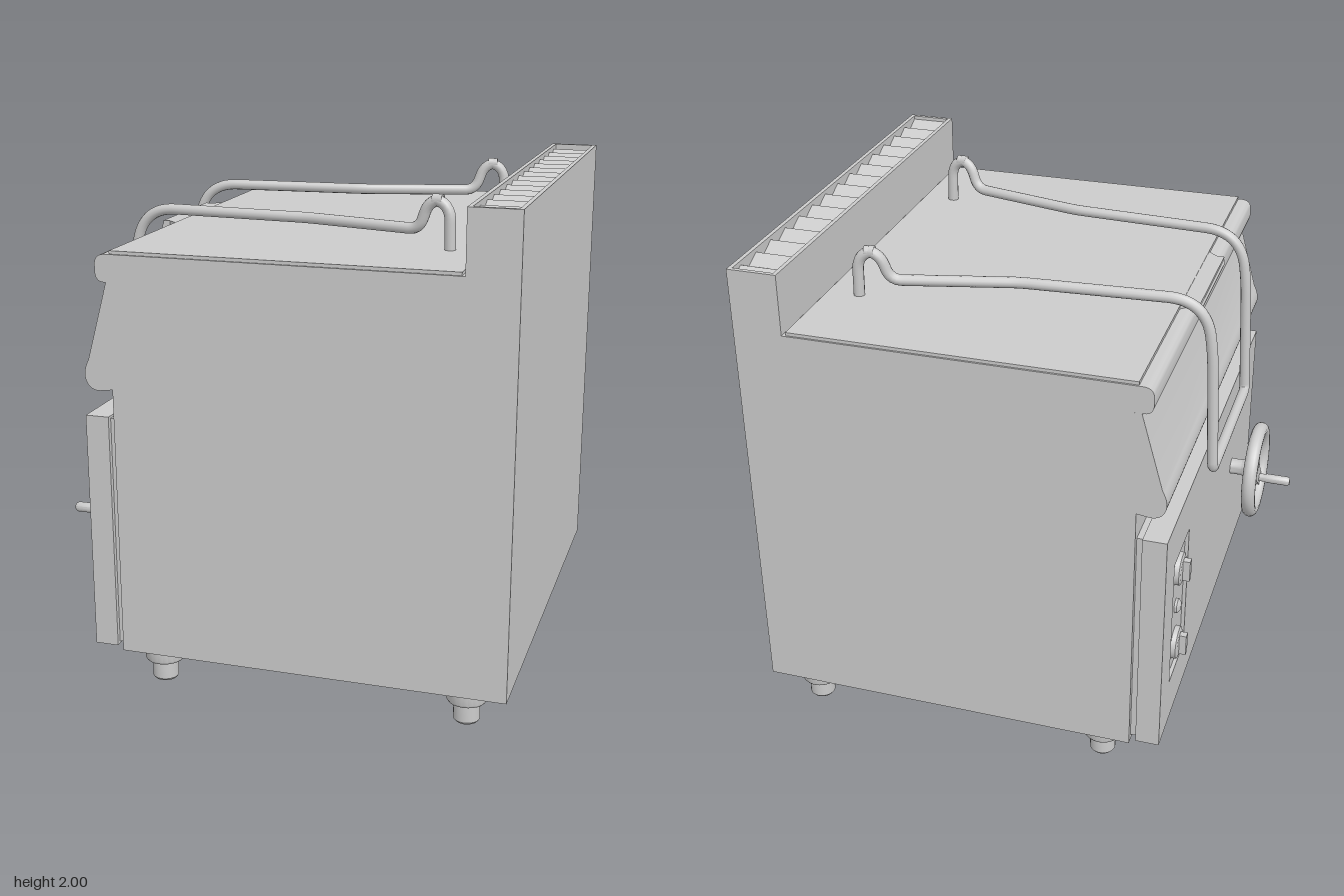
import * as THREE from 'three';
import { toCreasedNormals } from 'three/addons/utils/BufferGeometryUtils.js';

const V3 = (x, y, z) => new THREE.Vector3(x, y, z);
const material = new THREE.MeshStandardMaterial({ color: 0xcccccc });
const HALF = 0.925; // half width of the cabinet along z

function add(parent, name, geometry, x = 0, y = 0, z = 0) {
  const mesh = new THREE.Mesh(geometry, material);
  mesh.name = name;
  mesh.position.set(x, y, z);
  parent.add(mesh);
  return mesh;
}

const polygon = (pts) => new THREE.Shape(pts.map(([x, y]) => new THREE.Vector2(x, y)));
const rect = (x0, y0, x1, y1) => polygon([[x0, y0], [x1, y0], [x1, y1], [x0, y1]]);
const extrude = (shape, depth) =>
  toCreasedNormals(new THREE.ExtrudeGeometry(shape, { depth, bevelEnabled: false, curveSegments: 8 }), 0.6);

// Side profile in x/y, extruded symmetrically across z
const acrossZ = (shape, half) => extrude(shape, half * 2).translate(0, 0, -half);
// Outline in z/y, extruded forwards along -x
const alongFront = (shape, depth) => extrude(shape, depth).rotateY(-Math.PI / 2);
// Lathe profile [radius, height] with its axis pointing along -x
const turnedFront = (pts, sides = 24) =>
  toCreasedNormals(new THREE.LatheGeometry(pts.map(([r, h]) => new THREE.Vector2(r, h)), sides), 0.6).rotateZ(Math.PI / 2);

// Polyline with rounded corners; each point is [x, y, z, cornerRadius]
function roundedPath(points) {
  const path = new THREE.CurvePath();
  let last = V3(...points[0].slice(0, 3));
  for (let i = 1; i < points.length - 1; i++) {
    const [a, p, b] = [points[i - 1], points[i], points[i + 1]].map((q) => V3(q[0], q[1], q[2]));
    const start = p.clone().add(a.sub(p).setLength(points[i][3]));
    const end = p.clone().add(b.sub(p).setLength(points[i][3]));
    path.add(new THREE.LineCurve3(last, start));
    path.add(new THREE.QuadraticBezierCurve3(start, p, end));
    last = end;
  }
  path.add(new THREE.LineCurve3(last, V3(...points.at(-1).slice(0, 3))));
  return path;
}

export function createModel() {
  const model = new THREE.Group();
  model.name = 'tiltingPanCooker';

  // Cabinet with the sloping pan front
  const body = new THREE.Shape();
  body.moveTo(-0.59, 0.145);
  body.lineTo(0.965, 0.145);
  body.lineTo(0.965, 1.65);
  body.lineTo(-0.6, 1.65);
  body.lineTo(-0.685, 1.345);
  body.quadraticCurveTo(-0.71, 1.3, -0.7, 1.265);
  body.quadraticCurveTo(-0.685, 1.222, -0.64, 1.225);
  body.lineTo(-0.59, 1.232);
  add(model, 'cabinet', acrossZ(body, HALF));

  // Worktop rim with a rounded nose
  const rim = new THREE.Shape();
  rim.moveTo(-0.61, 1.65);
  rim.lineTo(0.77, 1.65);
  rim.lineTo(0.77, 1.757);
  rim.lineTo(-0.6, 1.757);
  rim.quadraticCurveTo(-0.64, 1.757, -0.643, 1.72);
  rim.lineTo(-0.643, 1.685);
  rim.quadraticCurveTo(-0.64, 1.652, -0.61, 1.65);
  add(model, 'worktopRim', acrossZ(rim, HALF));

  // Lid plate and its front grip lip
  add(model, 'lid', new THREE.BoxGeometry(1.34, 0.03, 1.835), 0.085, 1.755, 0);
  const lip = polygon([[-0.58, -0.28], [-0.58, 0.28], [-0.625, 0.24], [-0.655, 0.24], [-0.655, -0.24], [-0.625, -0.24]]);
  add(model, 'lidLip', extrude(lip, 0.03).rotateX(-Math.PI / 2), 0, 1.738, 0);
  add(model, 'lidLipEdge', new THREE.CylinderGeometry(0.02, 0.02, 0.48, 16).rotateX(Math.PI / 2), -0.64, 1.743, 0);

  // Flue riser with a corrugated vent set into its top
  const riser = rect(0.768, -HALF, 0.965, HALF);
  riser.holes.push(rect(0.785, -0.908, 0.948, 0.908));
  add(model, 'flueRiser', extrude(riser, 0.35).rotateX(-Math.PI / 2), 0, 1.65, 0);
  const count = 29, step = 1.816 / count;
  const zigzag = [[-0.908, 1.9]];
  for (let i = 0; i <= count; i++) zigzag.push([-0.908 + i * step, i % 2 ? 1.985 : 1.955]);
  zigzag.push([0.908, 1.9]);
  const vent = new THREE.ExtrudeGeometry(polygon(zigzag), { depth: 0.163, bevelEnabled: false });
  add(model, 'ventSlats', vent.rotateY(-Math.PI / 2), 0.948, 0, 0);

  // Front door panel with a recess for the controls
  add(model, 'panelBacking', new THREE.BoxGeometry(0.05, 0.94, 1.8), -0.6, 0.64, 0);
  const door = rect(-0.92, 0.16, 0.92, 1.12);
  door.holes.push(rect(-0.765, 0.36, -0.505, 0.92));
  add(model, 'frontPanel', alongFront(door, 0.095), -0.615, 0, 0);
  add(model, 'controlPlate', new THREE.BoxGeometry(0.04, 0.58, 0.28), -0.675, 0.64, -0.635);

  // Rotary knobs and indicator lamp
  for (const y of [0.82, 0.46]) {
    const knob = new THREE.Group();
    knob.name = 'controlKnob';
    knob.position.set(-0.69, y, -0.635);
    add(knob, 'knobBase', turnedFront([[0, 0], [0.068, 0], [0.066, 0.025], [0.052, 0.03], [0, 0.03]]));
    add(knob, 'knobGrip', new THREE.BoxGeometry(0.04, 0.09, 0.03), -0.038, 0, 0);
    model.add(knob);
  }
  add(model, 'indicatorLamp', turnedFront([[0, 0], [0.03, 0], [0.03, 0.012], [0.018, 0.022], [0, 0.025]]), -0.693, 0.64, -0.635);

  // Tilting handwheel: shaft, hub, spokes, ring and crank
  const wheel = new THREE.Group();
  wheel.name = 'handwheel';
  wheel.position.set(-0.71, 0.665, 0.44);
  model.add(wheel);
  add(wheel, 'wheelHub', turnedFront([[0, 0], [0.035, 0], [0.035, 0.05], [0.058, 0.085], [0.058, 0.115], [0, 0.115]]));
  add(wheel, 'wheelRing', new THREE.TorusGeometry(0.185, 0.031, 14, 48).rotateY(Math.PI / 2), -0.112, 0, 0);
  const spoke = polygon([[0.02, -0.045], [0.185, -0.025], [0.185, 0.025], [0.02, 0.045]]);
  for (const degrees of [-46, 74, 194]) {
    const geometry = extrude(spoke, 0.022).rotateZ(THREE.MathUtils.degToRad(degrees)).rotateY(-Math.PI / 2);
    add(wheel, 'wheelSpoke', geometry, -0.098, 0, 0);
  }
  add(wheel, 'crankHandle',
    turnedFront([[0, 0], [0.018, 0], [0.018, 0.045], [0.021, 0.055], [0.021, 0.15], [0.015, 0.16], [0, 0.16]], 16), -0.1, -0.09, 0.085);

  // Lid handle: one bent tube, mirrored about the centre
  const side = [
    [0.625, 1.755, 0.53, 0],
    [0.622, 1.955, 0.53, 0.08],
    [0.54, 1.955, 0.52, 0.055],
    [0.5, 1.838, 0.508, 0.045],
    [0.02, 1.838, 0.39, 0.04],
    [-0.7, 1.838, 0.345, 0.15],
    [-0.735, 1.62, 0.345, 0.07],
    [-0.76, 1.115, 0.345, 0.03],
  ];
  const mirrored = side.map(([x, y, z, r]) => [x, y, -z, r]).reverse();
  add(model, 'lidHandle', new THREE.TubeGeometry(roundedPath([...side, ...mirrored]), 320, 0.022, 12));

  // Adjustable feet
  const footProfile = [[0, 0], [0.044, 0], [0.052, 0.01], [0.052, 0.082], [0.074, 0.085], [0.08, 0.094], [0.08, 0.148], [0, 0.148]]
    .map(([r, y]) => new THREE.Vector2(r, y));
  const foot = toCreasedNormals(new THREE.LatheGeometry(footProfile, 24), 0.6);
  for (const x of [-0.455, 0.793])
    for (const z of [-0.815, 0.815]) add(model, 'foot', foot, x, 0, z);

  return model;
}
